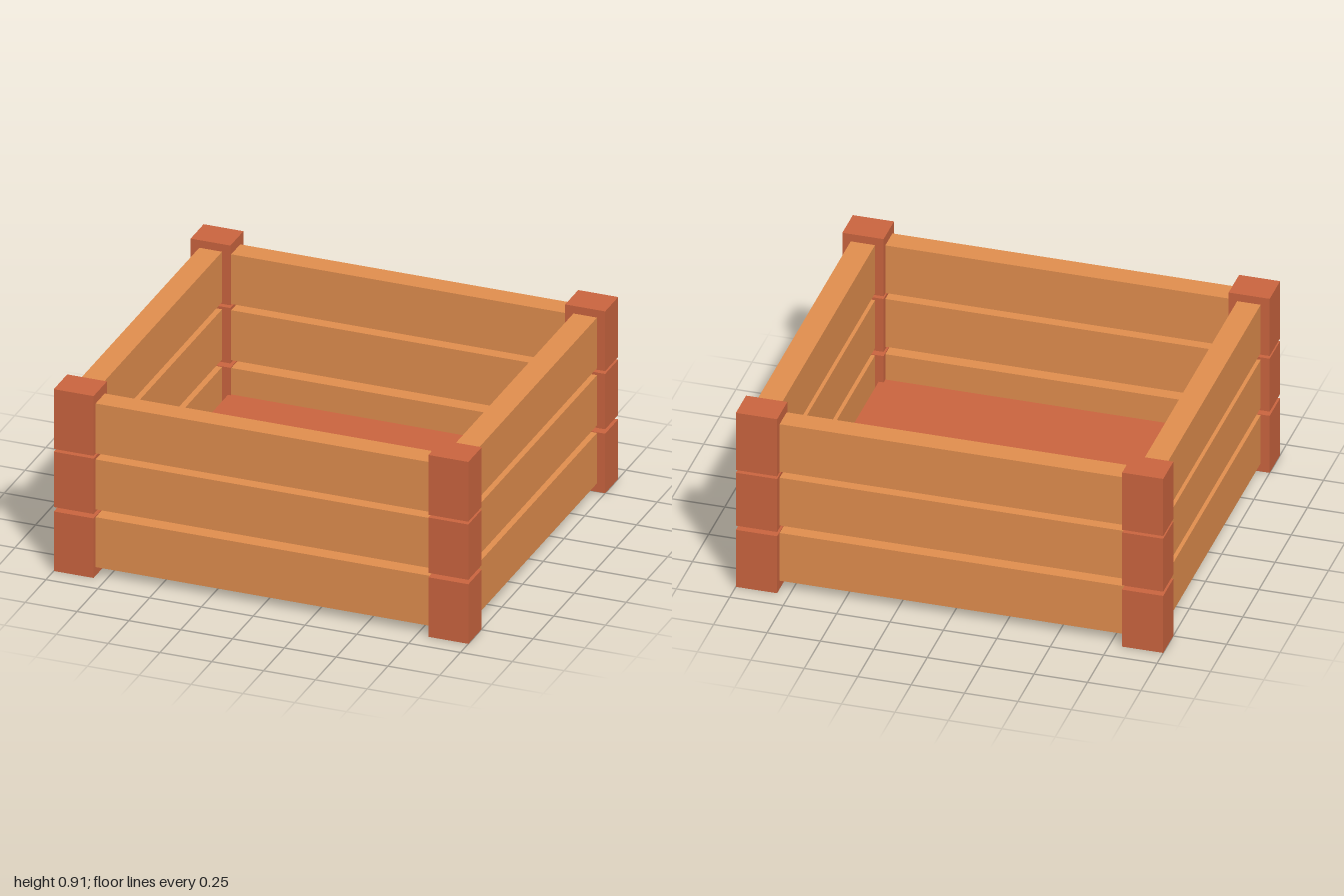
import * as THREE from 'three';

export function createModel() {
  const group = new THREE.Group();
  group.name = 'plankCrate';

  const redWood = new THREE.MeshStandardMaterial({ color: 0xcd6640 });
  redWood.name = 'red wood';
  const paleWood = new THREE.MeshStandardMaterial({ color: 0xe4904f });
  paleWood.name = 'pale wood';

  // Box given by its lower and upper limits on each axis
  function addBox(name, material, [x0, x1], [y0, y1], [z0, z1]) {
    const mesh = new THREE.Mesh(new THREE.BoxGeometry(x1 - x0, y1 - y0, z1 - z0), material);
    mesh.position.set((x0 + x1) / 2, (y0 + y1) / 2, (z0 + z1) / 2);
    mesh.name = name;
    group.add(mesh);
  }

  // Heights of the three stacked rows
  const rows = [
    { block: [0, 0.297], longPlank: [0.043, 0.292], sidePlank: [0.043, 0.294] },
    { block: [0.319, 0.595], longPlank: [0.331, 0.58], sidePlank: [0.332, 0.582] },
    { block: [0.609, 0.907], longPlank: [0.611, 0.859], sidePlank: [0.618, 0.869] },
  ];

  for (const { block, longPlank, sidePlank } of rows) {
    // Corner blocks
    for (const x of [[-1, -0.808], [0.807, 1]]) {
      for (const z of [[-0.905, -0.747], [0.743, 0.905]]) addBox('cornerBlock', redWood, x, block, z);
    }
    // Planks between the blocks
    addBox('frontPlank', paleWood, [-0.82, 0.82], longPlank, [0.77, 0.88]);
    addBox('backPlank', paleWood, [-0.82, 0.82], longPlank, [-0.866, -0.757]);
    addBox('leftPlank', paleWood, [0.847, 0.961], sidePlank, [-0.76, 0.76]);
    addBox('rightPlank', paleWood, [-0.958, -0.848], sidePlank, [-0.76, 0.76]);
  }

  // Thick floor slab
  addBox('floor', redWood, [-0.82, 0.83], [0.05, 0.16], [-0.765, 0.773]);

  return group;
}
